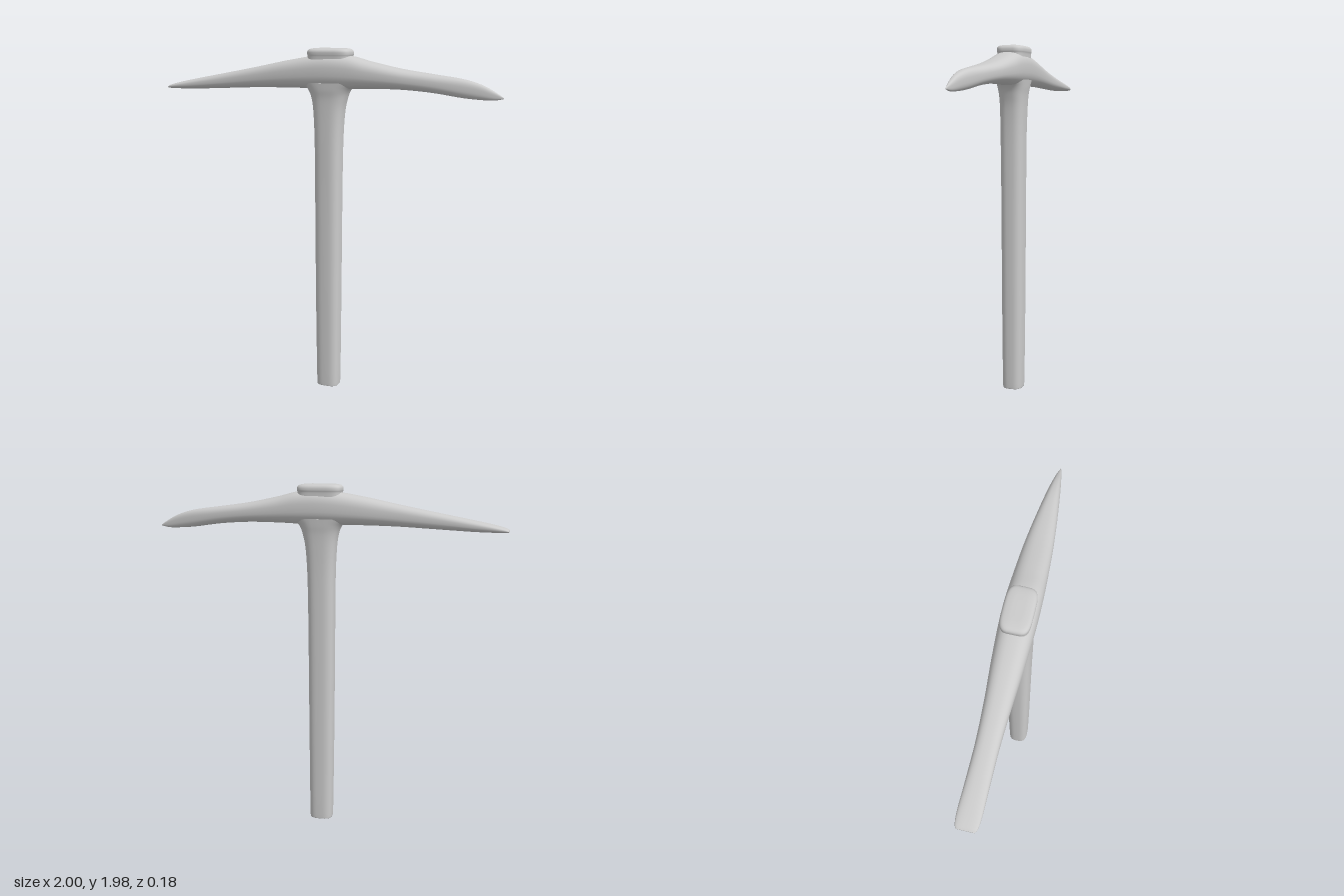
import * as THREE from 'three';

const material = new THREE.MeshStandardMaterial({ color: 0xcccccc });
const SIDES = 40;

// Smooth loft through sections [position, lowU, highU, lowV, highV].
// toPoint places (position, u, v); power sets how square a section is.
function loft(name, sections, power, steps, toPoint) {
  const uCurve = new THREE.CatmullRomCurve3(sections.map(s => new THREE.Vector3(s[0], s[1], s[2])), false, 'catmullrom');
  const vCurve = new THREE.CatmullRomCurve3(sections.map(s => new THREE.Vector3(s[0], s[3], s[4])), false, 'catmullrom');
  const round = t => Math.sign(t) * Math.pow(Math.abs(t), 2 / power);
  const positions = [], index = [], rings = [];
  for (let i = 0; i <= steps; i++) {
    const U = uCurve.getPoint(i / steps), V = vCurve.getPoint(i / steps), ring = [];
    for (let j = 0; j < SIDES; j++) {
      const a = (j / SIDES) * Math.PI * 2;
      const u = (U.y + U.z) / 2 + (U.z - U.y) / 2 * round(Math.cos(a));
      const v = (V.y + V.z) / 2 + (V.z - V.y) / 2 * round(Math.sin(a));
      ring.push(toPoint(U.x, u, v));
    }
    rings.push(ring);
    positions.push(...ring.flat());
  }
  for (let i = 0; i < steps; i++) {
    for (let j = 0; j < SIDES; j++) {
      const k = (j + 1) % SIDES;
      const a = i * SIDES + j, b = i * SIDES + k;
      index.push(a, a + SIDES, b, b, a + SIDES, b + SIDES);
    }
  }
  // Flat end caps with their own vertices, so their edges stay crisp
  for (const end of [0, steps]) {
    const start = positions.length / 3, ring = rings[end];
    const centre = [0, 1, 2].map(c => ring.reduce((sum, p) => sum + p[c], 0) / SIDES);
    positions.push(...centre, ...ring.flat());
    for (let j = 0; j < SIDES; j++) {
      const a = start + 1 + j, b = start + 1 + (j + 1) % SIDES;
      if (end === 0) index.push(start, a, b);
      else index.push(start, b, a);
    }
  }
  const geometry = new THREE.BufferGeometry();
  geometry.setAttribute('position', new THREE.Float32BufferAttribute(positions, 3));
  geometry.setIndex(index);
  geometry.computeVertexNormals();
  const mesh = new THREE.Mesh(geometry, material);
  mesh.name = name;
  return mesh;
}

const upright = (y, x, z) => [x, y, z];
const sideways = (x, z, y) => [x, y, z];

export function createModel() {
  const group = new THREE.Group();
  group.name = 'pickaxe';

  // Handle: y, x range, z range; flares into the head
  group.add(loft('handle', [
    [0, -0.032, 0.092, -0.052, 0.056],
    [0.012, -0.036, 0.097, -0.056, 0.06],
    [0.4, -0.041, 0.1, -0.06, 0.064],
    [0.8, -0.044, 0.102, -0.062, 0.066],
    [1.2, -0.046, 0.104, -0.064, 0.068],
    [1.45, -0.048, 0.108, -0.066, 0.07],
    [1.6, -0.055, 0.117, -0.07, 0.071],
    [1.68, -0.066, 0.132, -0.074, 0.073],
    [1.73, -0.086, 0.152, -0.08, 0.079],
    [1.77, -0.125, 0.19, -0.084, 0.082],
  ], 2.9, 72, upright));

  // Head: x, z range, y range; flat blade at -x, point at +x
  group.add(loft('head', [
    [-1, -0.052, 0.035, 1.717, 1.727],
    [-0.98, -0.063, 0.047, 1.715, 1.738],
    [-0.92, -0.068, 0.053, 1.714, 1.754],
    [-0.8, -0.065, 0.054, 1.716, 1.778],
    [-0.6, -0.062, 0.056, 1.725, 1.815],
    [-0.4, -0.069, 0.066, 1.734, 1.853],
    [-0.2, -0.083, 0.08, 1.737, 1.893],
    [0, -0.093, 0.089, 1.737, 1.923],
    [0.15, -0.093, 0.089, 1.738, 1.918],
    [0.28, -0.088, 0.084, 1.742, 1.887],
    [0.45, -0.078, 0.074, 1.742, 1.852],
    [0.62, -0.061, 0.058, 1.73, 1.828],
    [0.78, -0.041, 0.039, 1.708, 1.806],
    [0.88, -0.026, 0.025, 1.7, 1.779],
    [0.95, -0.014, 0.013, 1.699, 1.745],
    [1, -0.002, 0.002, 1.708, 1.714],
  ], 2.6, 90, sideways));

  // Top cap: the handle end showing above the head
  group.add(loft('topCap', [
    [1.88, -0.088, 0.158, -0.079, 0.07],
    [1.912, -0.087, 0.157, -0.08, 0.071],
    [1.926, -0.09, 0.16, -0.083, 0.073],
    [1.942, -0.088, 0.158, -0.081, 0.072],
    [1.953, -0.075, 0.146, -0.07, 0.061],
    [1.958, -0.045, 0.116, -0.045, 0.036],
    [1.959, -0.01, 0.08, -0.018, 0.01],
  ], 4, 36, upright));

  return group;
}
